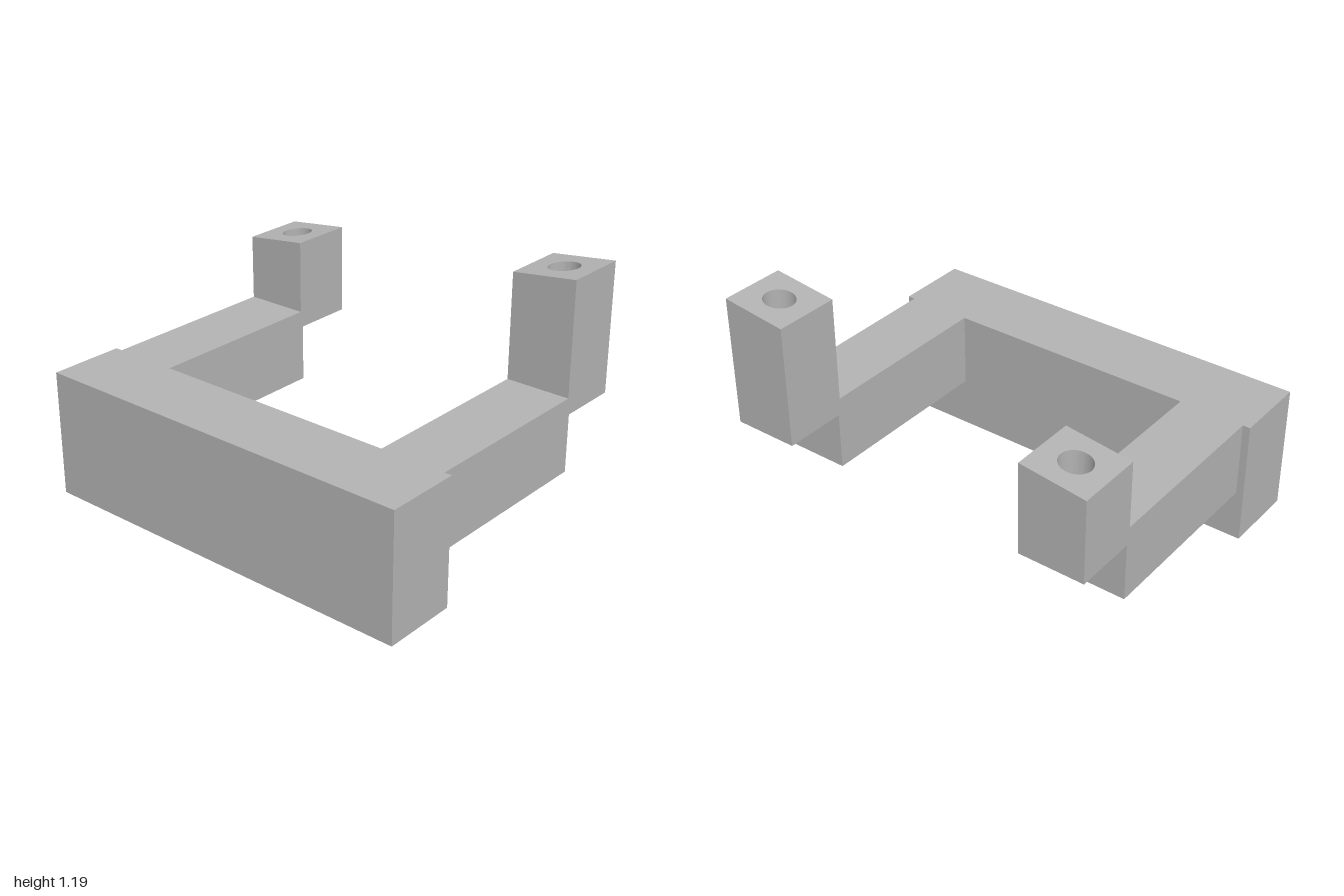
import * as THREE from 'three';
import { mergeGeometries, toCreasedNormals } from 'three/addons/utils/BufferGeometryUtils.js';

// Plan outlines are lists of Vector2(x, -z), counter-clockwise seen from above.
const V = (x, z) => new THREE.Vector2(x, -z);
const rect = (x0, x1, z0, z1) => [V(x0, z1), V(x1, z1), V(x1, z0), V(x0, z0)];
const circle = (x, z, r, n = 48) => Array.from({ length: n }, (_, i) => {
  const a = (i / n) * Math.PI * 2;
  return V(x + r * Math.cos(a), z - r * Math.sin(a));
});
const level = (y) => () => y;

// Upright wall around an outline, from y = low to the height rule high(z)
function wall(outline, low, high, inward = false) {
  const pts = inward ? [...outline].reverse() : outline;
  const out = [];
  pts.forEach((a, i) => {
    const b = pts[(i + 1) % pts.length];
    const [az, bz] = [-a.y, -b.y];
    const [a0, b0] = [[a.x, low, az], [b.x, low, bz]];
    const [a1, b1] = [[a.x, high(az), az], [b.x, high(bz), bz]];
    out.push(...a0, ...b0, ...b1, ...a0, ...b1, ...a1);
  });
  const g = new THREE.BufferGeometry();
  g.setAttribute('position', new THREE.Float32BufferAttribute(out, 3));
  return g;
}

// Flat or sloping face filling an outline, facing up or down
function cap(outline, holes, height, up) {
  const shape = new THREE.Shape(outline);
  shape.holes = holes.map((h) => new THREE.Path(h));
  let g = new THREE.ShapeGeometry(shape).rotateX(-Math.PI / 2);
  if (!up) g.setIndex(Array.from(g.index.array).reverse());
  g = g.toNonIndexed();
  g.deleteAttribute('uv');
  g.deleteAttribute('normal');
  const p = g.attributes.position;
  for (let i = 0; i < p.count; i++) p.setY(i, height(p.getZ(i)));
  return g;
}

export function createModel() {
  const group = new THREE.Group();
  const grey = new THREE.MeshStandardMaterial({ color: 0xb2b2b2 });
  grey.name = 'grey';
  const add = (name, parts) => {
    const mesh = new THREE.Mesh(toCreasedNormals(mergeGeometries(parts), 0.5), grey);
    mesh.name = name;
    group.add(mesh);
  };

  const xBack = -0.815, xInner = -0.44, armEnd = 0.5, postStart = 0.485, xEnd = 0.81;
  const deck = 0.63, armBottom = 0.255, postBottom = 0.545;
  const zIn = 0.635, zOut = 0.963;
  const sides = [['front', zIn, zOut], ['back', -zOut, -zIn]];

  // Base block with two blind holes underneath
  const base = rect(xBack, xInner, -1, 1);
  const sockets = [0.12, -0.41].map((z) => circle(-0.627, z, 0.104));
  const frame = [wall(base, 0, level(deck)), cap(base, sockets, level(0), false)];
  for (const s of sockets) {
    frame.push(wall(s, 0, level(0.3), true), cap(s, [], level(0.3), false));
  }

  // Two arms, sharing one U-shaped top face with the base
  for (const [, z0, z1] of sides) {
    const arm = rect(xInner, armEnd, z0, z1);
    frame.push(wall(arm, armBottom, level(deck)), cap(arm, [], level(armBottom), false));
  }
  const deckOutline = [
    V(xBack, 1), V(xInner, 1), V(xInner, zOut), V(armEnd, zOut), V(armEnd, zIn), V(xInner, zIn),
    V(xInner, -zIn), V(armEnd, -zIn), V(armEnd, -zOut), V(xInner, -zOut), V(xInner, -1), V(xBack, -1),
  ];
  frame.push(cap(deckOutline, [], level(deck), true));
  add('frame', frame);

  // Posts cut by one sloping plane, with a through hole and a wider bore below
  const slope = (z) => 1.077 + 0.122 * z;
  const shelf = postBottom + 0.25;
  for (const [side, z0, z1] of sides) {
    const post = rect(postStart, xEnd, z0, z1);
    const zc = (z0 + z1) / 2;
    const hole = circle(0.647, zc, 0.075), bore = circle(0.647, zc, 0.141);
    add(side + 'Post', [
      wall(post, postBottom, slope),
      cap(post, [hole], slope, true),
      cap(post, [bore], level(postBottom), false),
      wall(bore, postBottom, level(shelf), true),
      cap(bore, [hole], level(shelf), false),
      wall(hole, shelf, slope, true),
    ]);
  }
  return group;
}
